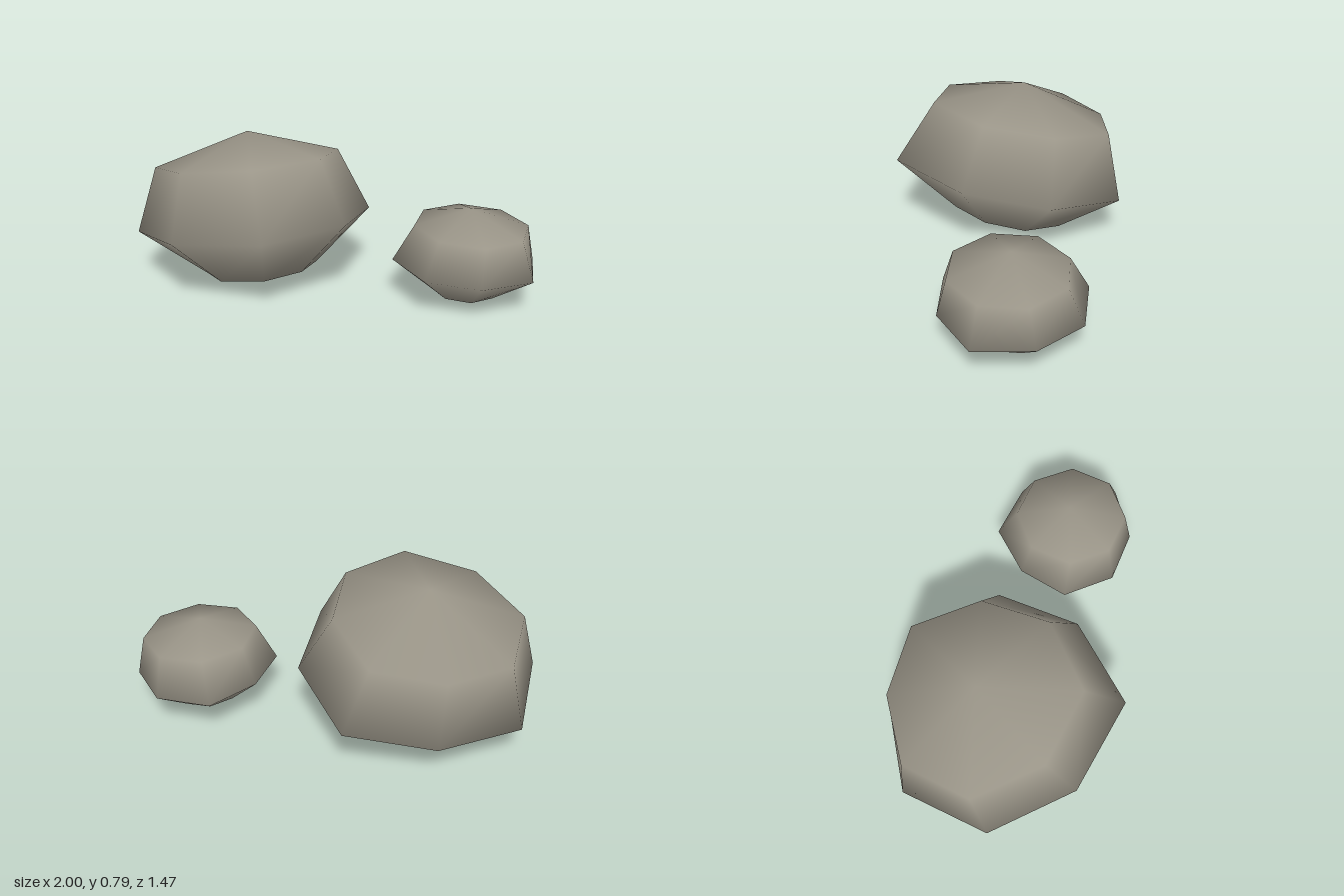
import * as THREE from 'three';

const SIDES = 8;

// Rock shell: tilted rings from bottom to top, closed by an apex, open underneath.
// Each ring is { c: centre, r: radius or radii from +x round towards +z }.
function rockGeometry({ rings, apex, slopeX, slopeZ }) {
  const pos = [];
  const index = [];
  for (const { c, r } of rings) {
    for (let i = 0; i < SIDES; i++) {
      const a = (i / SIDES) * Math.PI * 2;
      const radius = Array.isArray(r) ? r[i] : r;
      const dx = Math.cos(a) * radius;
      const dz = Math.sin(a) * radius;
      pos.push(c[0] + dx, c[1] + dx * slopeX + dz * slopeZ, c[2] + dz);
    }
  }
  const tip = pos.length / 3;
  pos.push(...apex);

  for (let k = 0; k < rings.length; k++) {
    for (let i = 0; i < SIDES; i++) {
      const j = (i + 1) % SIDES;
      const a = k * SIDES + i;
      const b = k * SIDES + j;
      if (k === rings.length - 1) index.push(a, tip, b);
      else index.push(a, a + SIDES, b, b, a + SIDES, b + SIDES);
    }
  }
  const geo = new THREE.BufferGeometry();
  geo.setAttribute('position', new THREE.Float32BufferAttribute(pos, 3));
  geo.setIndex(index);
  geo.computeVertexNormals();
  return geo;
}

export function createModel() {
  const group = new THREE.Group();
  group.name = 'rocks';

  const stone = new THREE.MeshStandardMaterial({ color: 0x9a9588, side: THREE.DoubleSide });
  stone.name = 'warm grey stone';

  const rocks = {
    // Large boulder, leaning towards -x
    largeRock: {
      slopeX: 0.2,
      slopeZ: 0.09,
      rings: [
        { c: [-0.34, 0.056, 0.14], r: [0.28, 0.31, 0.31, 0.3, 0.28, 0.27, 0.31, 0.29] },
        { c: [-0.375, 0.32, 0.12], r: [0.585, 0.66, 0.61, 0.64, 0.625, 0.55, 0.62, 0.587] },
        { c: [-0.45, 0.64, 0.095], r: [0.48, 0.51, 0.485, 0.5, 0.48, 0.44, 0.485, 0.46] },
      ],
      apex: [-0.455, 0.79, 0.11],
    },
    // Small stone, nearly level
    smallRock: {
      slopeX: -0.03,
      slopeZ: 0.02,
      rings: [
        { c: [0.61, 0.042, -0.365], r: 0.17 },
        { c: [0.605, 0.203, -0.37], r: [0.39, 0.355, 0.367, 0.375, 0.34, 0.38, 0.367, 0.355] },
        { c: [0.632, 0.397, -0.37], r: 0.292 },
      ],
      apex: [0.62, 0.485, -0.375],
    },
  };

  for (const [name, spec] of Object.entries(rocks)) {
    const mesh = new THREE.Mesh(rockGeometry(spec), stone);
    mesh.name = name;
    group.add(mesh);
  }
  return group;
}
